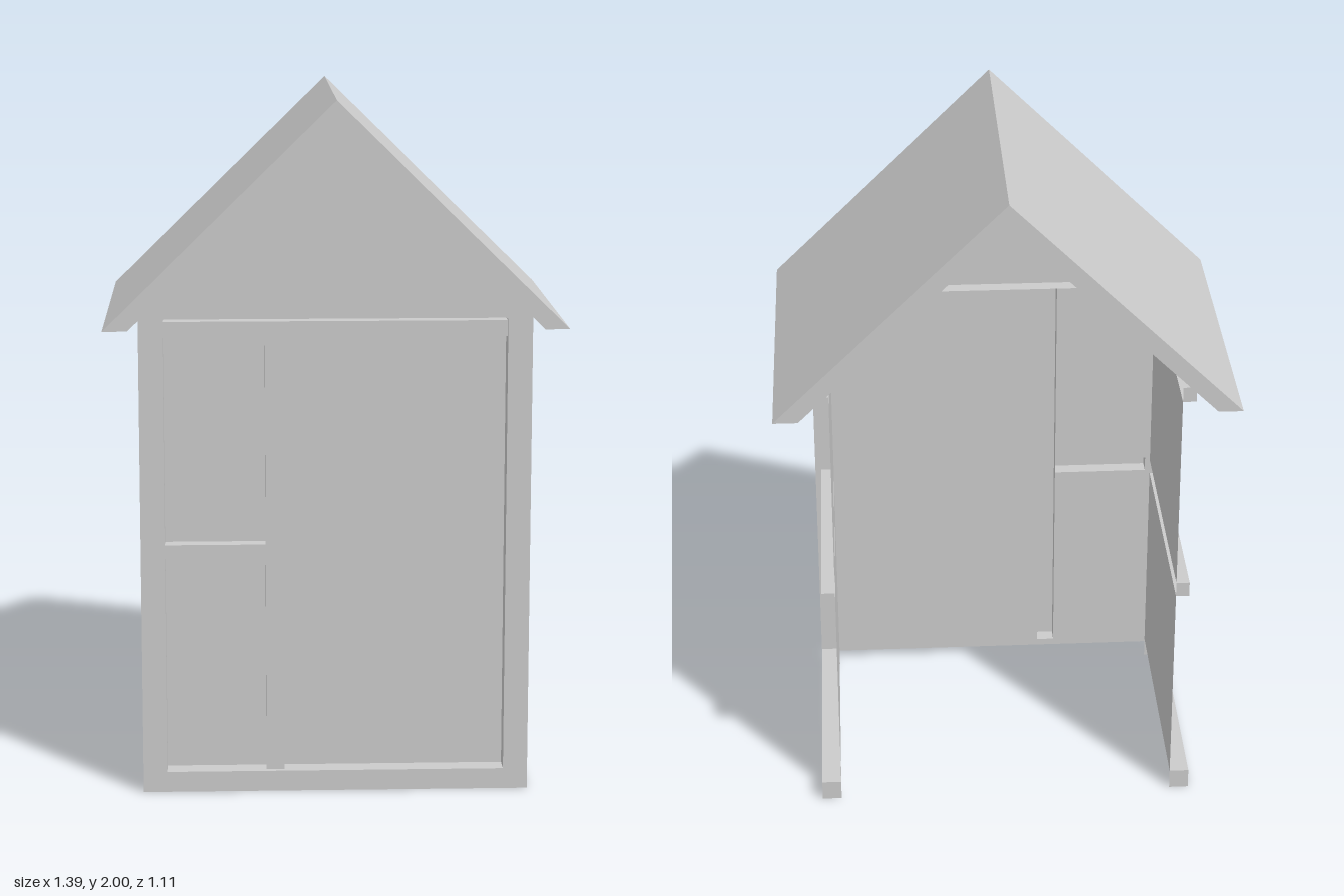
import * as THREE from 'three';

const mat = new THREE.MeshStandardMaterial({ color: 0xcccccc, flatShading: true, side: THREE.DoubleSide });

// Removes the triangles for which test(normal, centre) is true, leaving a hollow shell
function openShell(geometry, test) {
  const src = geometry.index ? geometry.toNonIndexed() : geometry;
  const p = src.attributes.position;
  const kept = [];
  const tri = new THREE.Triangle(), n = new THREE.Vector3(), c = new THREE.Vector3();
  for (let i = 0; i < p.count; i += 3) {
    tri.setFromAttributeAndIndices(p, i, i + 1, i + 2);
    tri.getNormal(n);
    tri.getMidpoint(c);
    if (!test(n, c)) kept.push(...tri.a.toArray(), ...tri.b.toArray(), ...tri.c.toArray());
  }
  const out = new THREE.BufferGeometry();
  out.setAttribute('position', new THREE.Float32BufferAttribute(kept, 3));
  out.computeVertexNormals();
  return out;
}

// Box given by its limits
function box(x0, x1, y0, y1, z0, z1) {
  return new THREE.BoxGeometry(x1 - x0, y1 - y0, z1 - z0)
    .translate((x0 + x1) / 2, (y0 + y1) / 2, (z0 + z1) / 2);
}

const polygon = (pts) => new THREE.Shape(pts.map(([x, y]) => new THREE.Vector2(x, y)));

export function createModel() {
  const shed = new THREE.Group();
  shed.name = 'shed';
  const add = (parent, name, geometry) => {
    const mesh = new THREE.Mesh(geometry, mat);
    mesh.name = name;
    parent.add(mesh);
  };

  const W = 0.557, FRONT = 0.44, FACE = 0.38, BACK = -0.38;
  const PANEL_X = 0.5, RAIL_X = 0.539, RAIL_Z = 0.424, POST_Z = 0.36;
  const BASE = 0.06, MID = [0.685, 0.73], TOP = [1.33, 1.375];
  const IN = 0.487, STUD = [-0.2, -0.148];

  // Gabled roof slab with level-cut eaves
  const roof = polygon([[-0.655, 1.36], [-0.585, 1.36], [0, 1.93], [0.585, 1.36], [0.655, 1.36], [0, 2]]);
  add(shed, 'roof', new THREE.ExtrudeGeometry(roof, { depth: 1, bevelEnabled: false }).translate(0, 0, -0.5));

  // Front wall: hollow frame of sill, posts and rafters
  const front = new THREE.Group();
  front.name = 'frontWall';
  shed.add(front);
  const outline = polygon([[-W, 0], [W, 0], [W, 1.386], [0, 1.929], [-W, 1.386]]);
  outline.holes.push(polygon([[-IN, BASE], [-IN, 1.38], [0, 1.855], [IN, 1.38], [IN, BASE]]));
  const frame = new THREE.ExtrudeGeometry(outline, { depth: FRONT - FACE, bevelEnabled: false }).translate(0, 0, FACE);
  add(front, 'frontFrame', openShell(frame, (n, c) => c.z < FACE + 0.001 || c.y < 0.001));

  // Front rails and door stud, open at the back
  const backOpen = (n) => n.z < -0.9;
  add(front, 'frontTopRail', openShell(box(-IN, IN, ...TOP, FACE, RAIL_Z), backOpen));
  add(front, 'frontMiddleRail', openShell(box(-IN, STUD[0], ...MID, FACE, RAIL_Z), backOpen));
  add(front, 'doorStud', openShell(box(...STUD, BASE, TOP[0], FACE, RAIL_Z), backOpen));

  // Front panels between the rails
  const frontPanels = {
    lowerSidePanel: [[-IN, BASE], [STUD[0], BASE], [STUD[0], MID[0]], [-IN, MID[0]]],
    upperSidePanel: [[-IN, MID[1]], [STUD[0], MID[1]], [STUD[0], TOP[0]], [-IN, TOP[0]]],
    doorPanel: [[STUD[1], BASE], [IN, BASE], [IN, TOP[0]], [STUD[1], TOP[0]]],
    gablePanel: [[-IN, TOP[1]], [IN, TOP[1]], [IN, 1.38], [0, 1.855], [-IN, 1.38]],
  };
  for (const [name, pts] of Object.entries(frontPanels)) {
    add(front, name, new THREE.ShapeGeometry(polygon(pts)).translate(0, 0, FACE));
  }

  // Side walls, mirrored: corner post, three rails open to the inside, two panels
  for (const [label, s] of [['left', 1], ['right', -1]]) {
    const wall = new THREE.Group();
    wall.name = label + 'Wall';
    shed.add(wall);
    const span = (a, b) => (s > 0 ? [a, b] : [-b, -a]);
    const inner = (n) => n.x * s < -0.9;
    add(wall, 'cornerPost', openShell(box(...span(PANEL_X, W), 0, 1.386, POST_Z, FACE),
      (n) => inner(n) || n.z > 0.9 || n.y < -0.9));
    add(wall, 'sideSill', openShell(box(...span(PANEL_X, W), 0, BASE, BACK, POST_Z),
      (n) => inner(n) || n.y < -0.9 || n.z > 0.9));
    for (const [name, ys] of [['sideMiddleRail', MID], ['sideTopRail', TOP]]) {
      add(wall, name, openShell(box(...span(PANEL_X, RAIL_X), ...ys, BACK, POST_Z),
        (n) => inner(n) || n.z > 0.9));
    }
    for (const [name, y0, y1] of [['sideLowerPanel', BASE, MID[0]], ['sideUpperPanel', MID[1], TOP[0]]]) {
      add(wall, name, new THREE.PlaneGeometry(POST_Z - BACK, y1 - y0)
        .rotateY(s * Math.PI / 2).translate(s * PANEL_X, (y0 + y1) / 2, (POST_Z + BACK) / 2));
    }
  }

  // The whole shed stands slightly turned
  shed.rotation.y = 0.086;
  const model = new THREE.Group();
  model.name = 'gabledShed';
  model.add(shed);
  return model;
}
